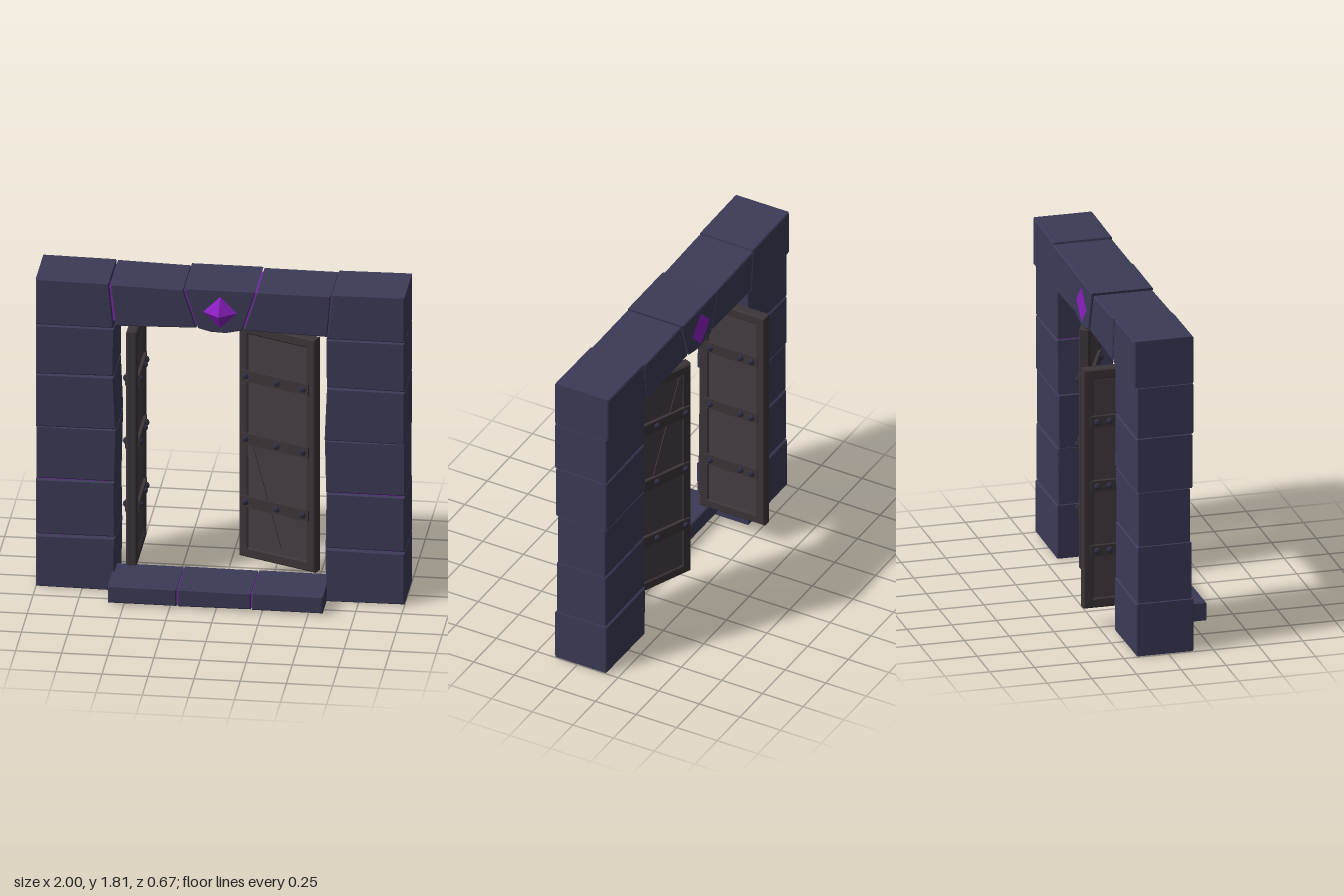
import * as THREE from 'three';

const mat = (name, color) => {
  const m = new THREE.MeshStandardMaterial({ color });
  m.name = name;
  return m;
};

export function createModel() {
  const stone = mat('slate stone', 0x3c3a57);
  const purple = mat('glowing purple', 0x8a1fbe);
  const wood = mat('dark wood', 0x453c42);
  const trim = mat('door trim', 0x3c3539);
  const iron = mat('bolt iron', 0x2f2e45);
  const root = new THREE.Group();
  root.name = 'stoneGateway';

  const add = (parent, name, geo, material, x = 0, y = 0, z = 0) => {
    const m = new THREE.Mesh(geo, material);
    m.name = name;
    m.position.set(x, y, z);
    parent.add(m);
    return m;
  };
  const box = (parent, name, material, w, h, d, x, y, z) =>
    add(parent, name, new THREE.BoxGeometry(w, h, d), material, x, y, z);

  // Chiselled block: front outline pushed back from z1 to z0 with a small chamfer
  const block = (parent, name, pts, z0, z1) => {
    const b = 0.006;
    const geo = new THREE.ExtrudeGeometry(
      new THREE.Shape(pts.map(([x, y]) => new THREE.Vector2(x, y))),
      { depth: z1 - z0 - 2 * b, bevelEnabled: true, bevelSize: b, bevelThickness: b, bevelOffset: -b, bevelSegments: 1 });
    geo.translate(0, 0, z0 + b);
    return add(parent, name, geo, stone);
  };

  // Pillars: [bottom inner y, top inner y, bottom outer y, top outer y, inner x low, inner x high, z0, z1]
  const courses = [
    [0.0, 0.306, 0.004, 0.302, 0.575, 0.57, -0.18, 0.14],
    [0.311, 0.63, 0.308, 0.628, 0.57, 0.575, -0.175, 0.13],
    [0.633, 0.936, 0.633, 0.938, 0.572, 0.565, -0.172, 0.122],
    [0.944, 1.25, 0.941, 1.247, 0.565, 0.578, -0.178, 0.135],
    [1.26, 1.538, 1.253, 1.538, 0.578, 0.575, -0.178, 0.14],
    [1.542, 1.805, 1.542, 1.81, 0.578, 0.605, -0.192, 0.14],
  ];
  for (const s of [-1, 1]) {
    const pillar = new THREE.Group();
    pillar.name = s > 0 ? 'leftPillar' : 'rightPillar';
    root.add(pillar);
    courses.forEach(([bi, ti, bo, to, xl, xh, z0, z1]) => {
      const pts = [[s * xl, bi], [s, bo], [s, to], [s * xh, ti]];
      block(pillar, 'pillarStone', s > 0 ? pts : pts.reverse(), z0, z1);
    });
    box(pillar, 'pillarCore', purple, 0.39, 1.74, 0.275, s * 0.79, 0.9, -0.025);
  }

  // Lintel of two wedge stones around a keystone
  const lintel = new THREE.Group();
  lintel.name = 'lintel';
  root.add(lintel);
  block(lintel, 'lintelStoneRight', [[-0.567, 1.555], [-0.13, 1.568], [-0.202, 1.79], [-0.595, 1.8]], -0.195, 0.138);
  block(lintel, 'lintelStoneLeft', [[0.128, 1.567], [0.58, 1.553], [0.6, 1.795], [0.2, 1.797]], -0.195, 0.138);
  block(lintel, 'keystone', [[-0.12, 1.568], [-0.05, 1.55], [0.03, 1.547], [0.12, 1.567], [0.193, 1.8], [-0.195, 1.8]], -0.202, 0.142);
  box(lintel, 'lintelCore', purple, 1.24, 0.2, 0.3, 0, 1.68, -0.03);

  // Gem: pointed on the front, flat diamond on the back
  const gem = new THREE.ConeGeometry(0.105, 0.08, 4).toNonIndexed();
  gem.rotateX(Math.PI / 2);
  gem.computeVertexNormals();
  add(lintel, 'gem', gem, purple, 0, 1.668, 0.172);
  const backGem = new THREE.CircleGeometry(0.1, 4);
  backGem.rotateY(Math.PI);
  add(lintel, 'gemBack', backGem, purple, 0, 1.668, -0.205);

  // Doorstep
  const step = new THREE.Group();
  step.name = 'doorstep';
  root.add(step);
  [[-0.585, -0.213], [-0.207, 0.191], [0.197, 0.58]].forEach(([a, b], i) =>
    block(step, 'stepStone', [[a, 0.012], [b, 0.012 + (i === 1 ? 0.004 : 0)], [b, 0.11], [a, 0.112]], 0.018, 0.332 + 0.003 * (i % 2)));
  box(step, 'stepCore', purple, 1.1, 0.08, 0.295, 0, 0.061, 0.176);

  // Doors: local +x points to the hinge side
  const makeDoor = (name, w, strapA, strapB, boltXs) => {
    const door = new THREE.Group();
    door.name = name;
    root.add(door);
    const h = 1.37, t = 0.06, f = 0.058;
    box(door, 'doorPanel', wood, w - 0.02, h - 0.02, 0.042, 0, 0, 0);
    // Chamfered frame with an open centre
    const rect = (cls, a, b) => new cls([[-a, -b], [a, -b], [a, b], [-a, b]].map(p => new THREE.Vector2(...p)));
    const shape = rect(THREE.Shape, w / 2, h / 2);
    shape.holes.push(rect(THREE.Path, w / 2 - f, h / 2 - f));
    const c = 0.008;
    const frame = new THREE.ExtrudeGeometry(shape, { depth: t - 2 * c, bevelEnabled: true, bevelSize: c, bevelThickness: c, bevelOffset: -c, bevelSegments: 1 });
    frame.translate(0, 0, -t / 2 + c);
    add(door, 'doorFrame', frame, trim);
    for (const y of [0.385, 0.015, -0.355]) {
      box(door, 'strap', trim, strapB - strapA, 0.064, 0.078, (strapA + strapB) / 2, y, 0);
      for (const x of boltXs) for (const s of [-1, 1]) {
        const bolt = new THREE.SphereGeometry(0.02, 8, 4);
        add(door, 'bolt', bolt, iron, x, y, s * 0.037);
      }
    }
    return door;
  };

  const right = makeDoor('rightDoor', 0.405, -0.163, 0.163, [-0.128, -0.06, 0.128]);
  right.position.set(-0.49, 0.805, -0.137);
  right.rotation.y = -Math.PI / 2;

  const left = makeDoor('leftDoor', 0.475, -0.22, 0.2, [-0.19, 0.005, 0.168]);
  left.position.set(0.295, 0.805, -0.075);
  left.rotation.y = -0.4;
  // Slanted braces, low on the front and high on the back
  for (const s of [1, -1]) {
    const brace = box(left, 'brace', wood, 0.05, 0.62, 0.012, -0.09, s > 0 ? -0.305 : 0.32, s * 0.02);
    brace.rotation.z = 0.3;
  }
  return root;
}
